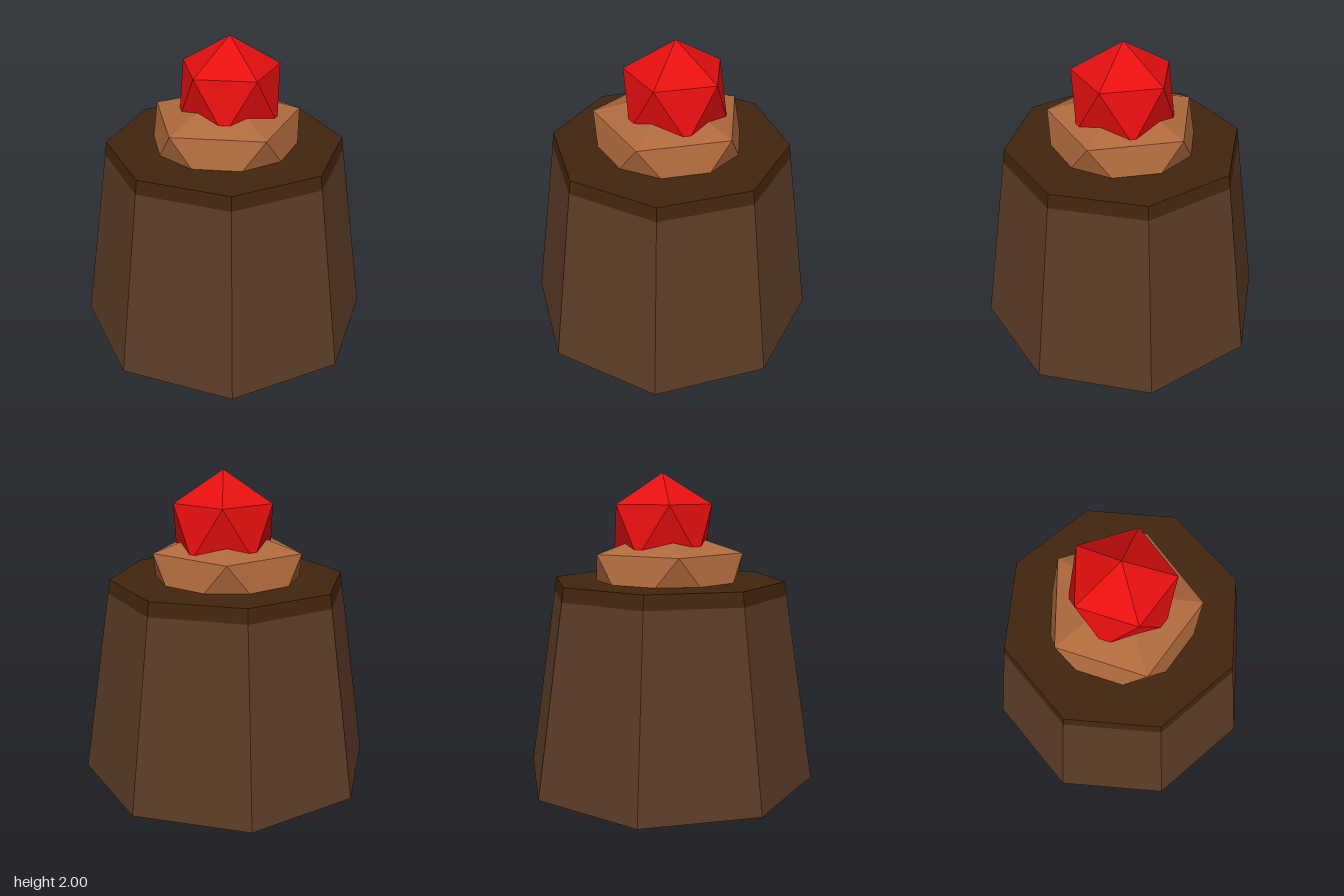
import * as THREE from 'three';

const flat = (name, color) => {
  const m = new THREE.MeshStandardMaterial({ color, flatShading: true });
  m.name = name;
  return m;
};

// Faceted ball: two staggered five-point rings between an upper and a lower tip
function facetedBall(radius, tipY, upperY, lowerY, baseY) {
  const point = (i, y, shift) => {
    const a = (i + shift) * Math.PI * 2 / 5;
    return [radius * Math.sin(a), y, radius * Math.cos(a)];
  };
  const tip = [0, tipY, 0], base = [0, baseY, 0], corners = [];
  for (let i = 0; i < 5; i++) {
    const u0 = point(i, upperY, 0), u1 = point(i + 1, upperY, 0);
    const l0 = point(i, lowerY, 0.5), l1 = point(i + 1, lowerY, 0.5);
    corners.push(tip, u0, u1, u0, l0, u1, l0, l1, u1, l0, base, l1);
  }
  const g = new THREE.BufferGeometry();
  g.setAttribute('position', new THREE.Float32BufferAttribute(corners.flat(), 3));
  g.computeVertexNormals();
  return g;
}

export function createModel() {
  const group = new THREE.Group();
  const bodyBrown = flat('bodyBrown', 0x5a3b27);
  const rimBrown = flat('rimBrown', 0x42260f);
  const tan = flat('tan', 0xaf6a3d);
  const red = flat('red', 0xe60f0f);

  const add = (name, geometry, material, x = 0, y = 0, z = 0) => {
    const mesh = new THREE.Mesh(geometry, material);
    mesh.name = name;
    mesh.position.set(x, y, z);
    group.add(mesh);
  };

  // Tapered eight-sided body with a darker slab on top, sharing one slope
  const bottomR = 0.973, topR = 0.765, seamY = 1.22, topY = 1.31;
  const seamR = bottomR + (topR - bottomR) * seamY / topY;
  add('body', new THREE.CylinderGeometry(seamR, bottomR, seamY, 8), bodyBrown, 0, seamY / 2);
  add('topSlab', new THREE.CylinderGeometry(topR, seamR, topY - seamY, 8), rimBrown, 0, (seamY + topY) / 2);

  // Squashed mound sunk into the slab, with a faceted berry sunk into it
  add('mound', facetedBall(0.493, 1.65, 1.49, 1.11, 0.95), tan);
  add('berry', facetedBall(0.325, 2.0, 1.8, 1.475, 1.275), red, 0.008, 0, -0.035);

  return group;
}
